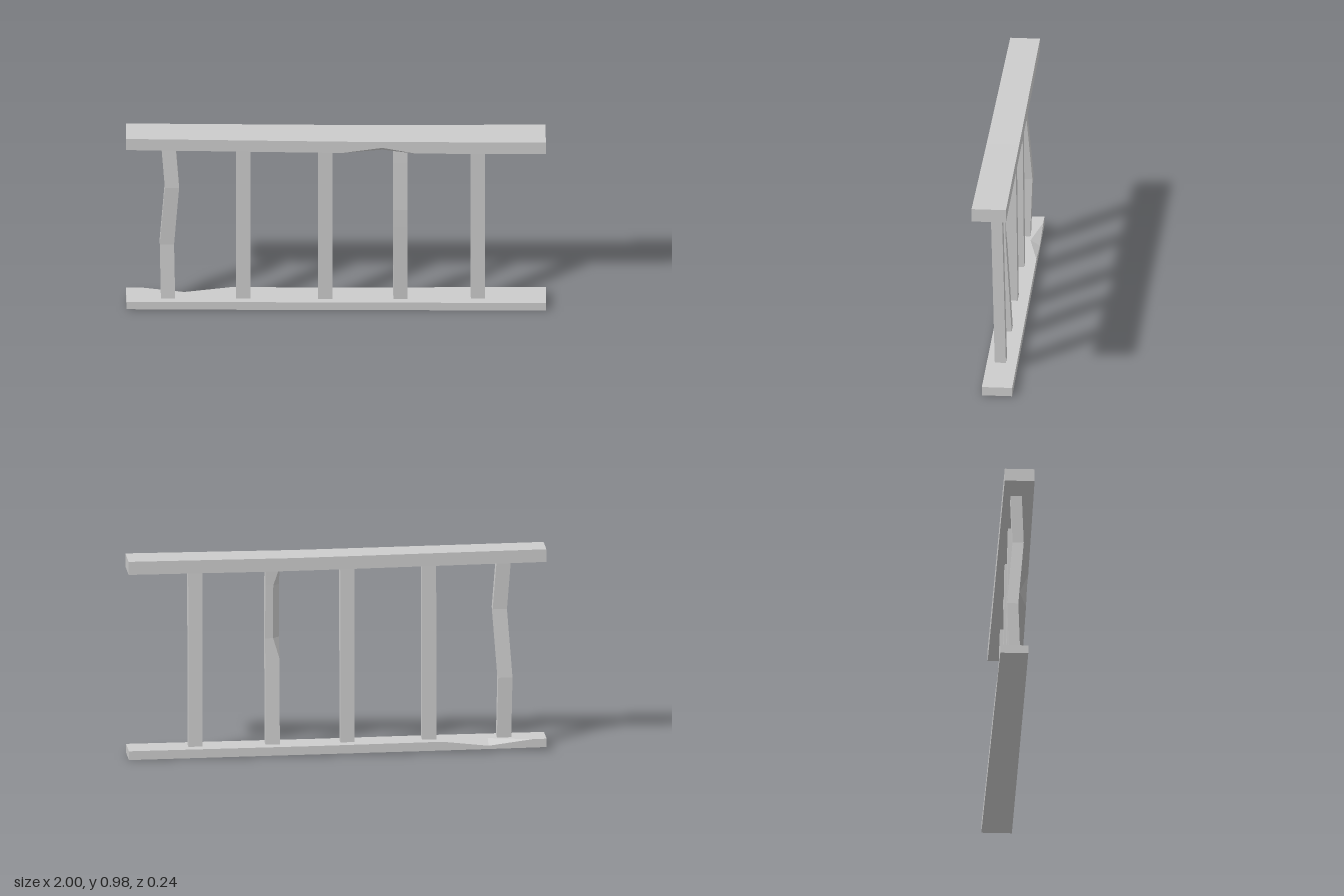
import * as THREE from 'three';

const material = new THREE.MeshStandardMaterial({ color: 0xcccccc, flatShading: true });
const lerp = THREE.MathUtils.lerp;

// Rectangle outline (counter-clockwise) with one corner split in two, cut back by [cu, cv].
function outline(u0, u1, v0, v1, corner, [cu, cv]) {
  const pts = [[u0, v0], [u1, v0], [u1, v1], [u0, v1]];
  const [u, v] = pts[corner];
  const a = [u + (u === u0 ? cu : -cu), v];
  const b = [u, v + (v === v0 ? cv : -cv)];
  pts.splice(corner, 1, ...(corner % 2 ? [a, b] : [b, a]));
  return pts;
}

// Skin a row of equal-length rings and close both ends.
function loft(name, rings) {
  const pos = [];
  const tri = (...p) => p.forEach((v) => pos.push(v.x, v.y, v.z));
  const n = rings[0].length;
  for (let i = 0; i < rings.length - 1; i++) {
    const r = rings[i], s = rings[i + 1];
    for (let j = 0; j < n; j++) {
      const k = (j + 1) % n;
      tri(r[j], r[k], s[k]);
      tri(r[j], s[k], s[j]);
    }
  }
  const first = rings[0], last = rings[rings.length - 1];
  for (let j = 1; j < n - 1; j++) {
    tri(first[0], first[j + 1], first[j]);
    tri(last[0], last[j], last[j + 1]);
  }
  const geo = new THREE.BufferGeometry();
  geo.setAttribute('position', new THREE.Float32BufferAttribute(pos, 3));
  geo.computeVertexNormals();
  const mesh = new THREE.Mesh(geo, material);
  mesh.name = name;
  return mesh;
}

// Rail along x. Stations: [x, bottom y, top y, chip depth z, chip height y].
function rail(name, back, front, corner, stations) {
  return loft(name, stations.map(([x, y0, y1, cz, cy]) => {
    const t = (x + 1) / 2;
    const z0 = lerp(back[0], back[1], t), z1 = lerp(front[0], front[1], t);
    // y runs first and z second so the outline turns about +x
    return outline(y0, y1, z0, z1, corner, [cy, cz])
      .map(([y, z]) => new THREE.Vector3(x + 0.038 * (z - (z0 + z1) / 2), y, z));
  }));
}

// Upright post. Stations: [y, centre x, front z, chip width x, chip depth z].
function post(name, stations) {
  const w = 0.068, d = 0.053;
  return loft(name, stations.map(([y, x, z, cx = 0, cz = 0]) =>
    // z runs first and x second so the outline turns about +y
    outline(z - d, z, x - w / 2, x + w / 2, 0, [cz, cx])
      .map(([pz, px]) => new THREE.Vector3(px + 0.038 * (pz - z), y, pz - 0.038 * (px - x)))));
}

export function createModel() {
  const group = new THREE.Group();
  group.name = 'fence';

  // Top rail, chipped under its front edge
  group.add(rail('topRail', [-0.022, -0.093], [0.12, 0.071], 3 - 1 + 1, [
    [-0.997, 0.918, 0.98, 0, 0],
    [0.03, 0.904, 0.967, 0, 0],
    [0.22, 0.902, 0.965, 0.035, 0.031],
    [0.38, 0.901, 0.965, 0, 0],
    [0.997, 0.901, 0.965, 0, 0],
  ]));

  // Bottom rail, chipped along its upper back edge
  group.add(rail('bottomRail', [-0.043, -0.123], [0.09, 0.022], 1, [
    [-0.997, 0.015, 0.056, 0, 0],
    [-0.93, 0.014, 0.055, 0, 0],
    [-0.72, 0.012, 0.054, 0.045, 0.026],
    [-0.5, 0.01, 0.053, 0, 0],
    [0.1, 0.006, 0.047, 0, 0],
    [0.997, 0, 0.043, 0, 0],
  ]));

  // Crooked end post
  group.add(post('bentPost', [
    [0.03, -0.797, 0.053], [0.35, -0.803, 0.042],
    [0.68, -0.778, 0.068], [0.93, -0.797, 0.058],
  ]));

  // Plain straight posts: [x, front z at bottom, front z at top]
  [[-0.44, 0.039, 0.048], [-0.05, 0.024, 0.035], [0.675, -0.005, 0.017]].forEach(([x, zb, zt], i) =>
    group.add(post(`straightPost${i + 1}`, [[0.03, x, zb], [0.93, x, zt]])));

  // Bowed post with a chipped back corner
  group.add(post('bowedPost', [
    [0.03, 0.307, 0.01], [0.46, 0.307, 0.036],
    [0.56, 0.307, 0.041, 0.03, 0.03], [0.82, 0.307, 0.034, 0.03, 0.03],
    [0.91, 0.307, 0.03], [0.93, 0.307, 0.029],
  ]));
  return group;
}
